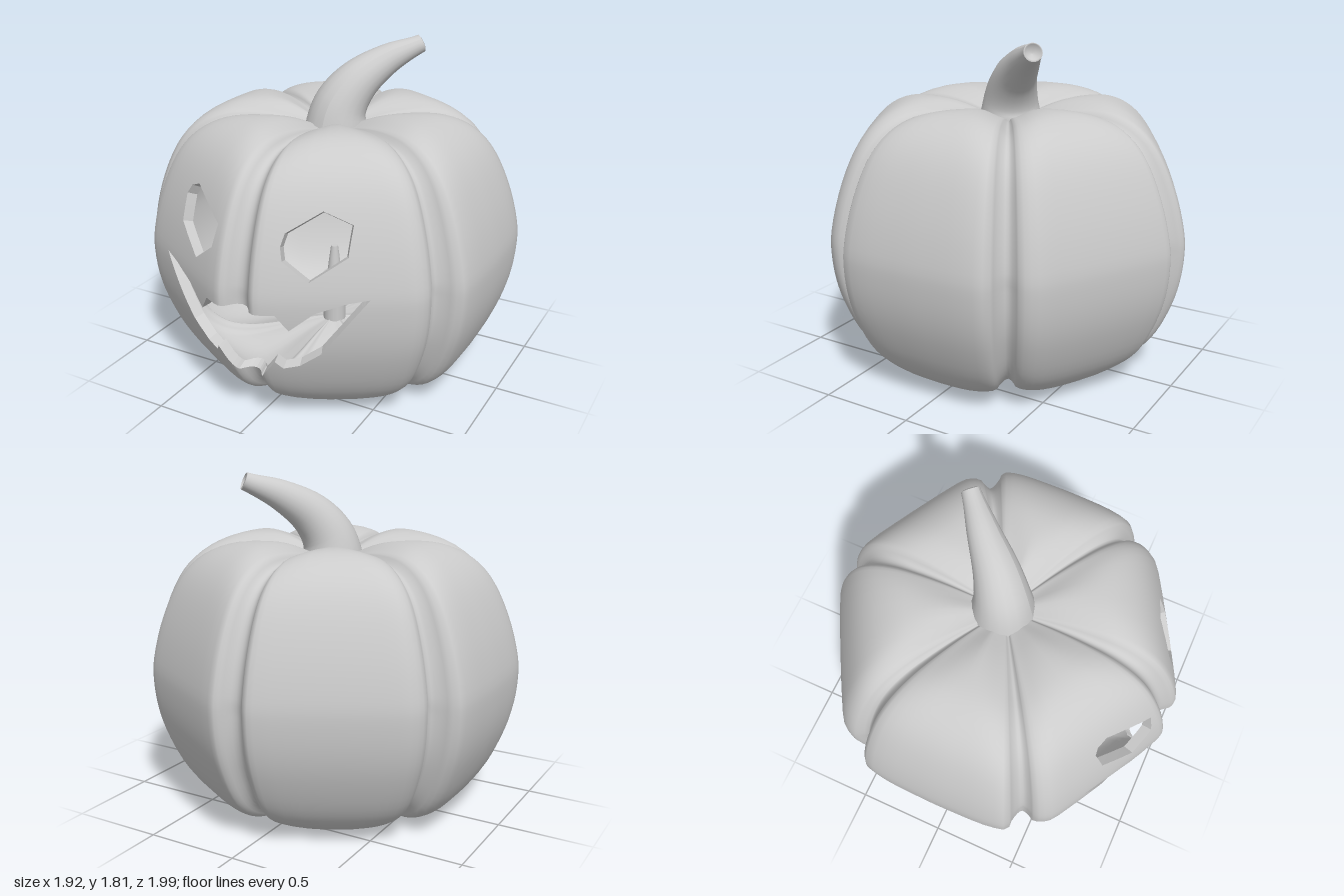
import * as THREE from 'three';

const V2 = (p) => new THREE.Vector2(p[0], p[1]);
const grey = (extra = {}) => new THREE.MeshStandardMaterial({ color: 0xcccccc, roughness: 0.8, ...extra });

// Quarter of the widest outline, front seam to side lobe: x, seam depth, z
const QUARTER = new THREE.CatmullRomCurve3([
  [0, 1, 1.012], [0.03, 0.9, 1.012], [0.06, 0.5, 1.01], [0.09, 0.12, 1.004], [0.13, 0, 0.988], [0.3, 0, 0.9],
  [0.5, 0, 0.79], [0.68, 0, 0.687], [0.775, 0, 0.625], [0.815, 0.06, 0.57], [0.837, 0.5, 0.54],
  [0.857, 1, 0.505], [0.872, 0.8, 0.475], [0.892, 0.3, 0.442], [0.93, 0, 0.41], [0.95, 0, 0.3],
  [0.957, 0, 0.15], [0.96, 0, 0],
].map((p) => new THREE.Vector3(...p)));
const SIDE_SEAM = Math.atan2(0.857, 0.505);

// Vertical profile of a lobe, top dimple to bottom dimple: share of the outline, height
const PROFILE = new THREE.SplineCurve([
  [0.001, 1.38], [0.15, 1.415], [0.3, 1.45], [0.45, 1.464], [0.58, 1.452], [0.7, 1.4], [0.8, 1.31], [0.88, 1.18],
  [0.95, 1], [0.993, 0.82], [1, 0.7], [0.985, 0.55], [0.945, 0.4], [0.87, 0.23], [0.78, 0.11], [0.66, 0.03],
  [0.52, 0], [0.38, 0.015], [0.2, 0.06], [0.001, 0.1],
].map(V2));

const Q = 34, COLS = Q * 4, ROWS = 57, SEAM = 0.085, WALL = 0.055;

// Lobed skin as an indexed grid, pushed inward by `inset`
function skin(inset) {
  const pos = [], index = [];
  for (let i = 0; i <= ROWS; i++) {
    const { x: s, y } = PROFILE.getPoint(i / ROWS);
    const t = PROFILE.getTangent(i / ROWS);
    const fade = Math.min(1, s / 0.5);
    // seams are sharp on the flanks, and soften into wide valleys at top and bottom
    const seam = SEAM * fade * (1 - 0.5 * Math.abs(t.x));
    const width = t.x > 0 ? 0.115 : 0.15;
    for (let j = 0; j < COLS; j++) {
      const q = Math.floor(j / Q), k = j % Q;
      const c = QUARTER.getPoint((q % 2 ? Q - k : k) / Q);
      const x = q < 2 ? c.x : -c.x, z = q === 0 || q === 3 ? c.z : -c.z;
      const r = Math.hypot(x, z), angle = Math.atan2(c.x, c.z);
      const arc = s * Math.min(angle, Math.abs(angle - SIDE_SEAM));
      const valley = 0.045 * Math.exp(-((arc / width) ** 2));
      const depth = inset + seam * c.y, out = (t.y * (inset * fade + seam * c.y)) / r;
      pos.push(x * (s + out), y - t.x * (depth + valley), z * (s + out));
      if (i < ROWS) {
        const n = (j + 1) % COLS, a = i * COLS, b = a + COLS;
        index.push(a + j, b + j, b + n, a + j, b + n, a + n);
      }
    }
  }
  const g = new THREE.BufferGeometry();
  g.setAttribute('position', new THREE.Float32BufferAttribute(pos, 3));
  g.setIndex(index);
  g.computeVertexNormals();
  return g;
}

// Face openings in front projection; the eyes differ slightly
const LEFT_EYE = [[0.195, 1.03], [0.21, 0.965], [0.33, 0.865], [0.48, 0.98], [0.48, 1.125], [0.345, 1.185], [0.205, 1.09]];
const RIGHT_EYE = [[-0.145, 1.08], [-0.37, 1.19], [-0.43, 1.165], [-0.46, 1.12], [-0.46, 0.985], [-0.3, 0.865], [-0.17, 0.965]];
const MOUTH = [[0.07, 0.295], [0.12, 0.36], [0.165, 0.42], [0.195, 0.375], [0.27, 0.395], [0.375, 0.475], [0.45, 0.58],
  [0.59, 0.78], [0.49, 0.76], [0.36, 0.71], [0.25, 0.615], [0.195, 0.7]];
const mirror = (pts) => pts.map(([x, y]) => [-x, y]).reverse();
const HOLES = [LEFT_EYE, RIGHT_EYE, [...MOUTH, ...mirror(MOUTH)]];

const side = (a, b, v) => (b[0] - a[0]) * (v[1] - a[1]) - (b[1] - a[1]) * (v[0] - a[0]);

// Each opening as counter-clockwise triangles whose edges know if they lie on the rim
const CUTTERS = HOLES.flatMap((h) => THREE.ShapeUtils.triangulateShape(h.map(V2), []).map((tri) => {
  const t = side(h[tri[0]], h[tri[1]], h[tri[2]]) < 0 ? [tri[0], tri[2], tri[1]] : tri;
  return t.map((a, k) => {
    const b = t[(k + 1) % 3], gap = Math.abs(a - b);
    return { a: h[a], b: h[b], rim: gap === 1 || gap === h.length - 1 };
  });
}));

// Splits a convex polygon by a line into its left and right parts
function split(poly, { a, b }) {
  const left = [], right = [];
  poly.forEach((u, k) => {
    const v = poly[(k + 1) % poly.length], su = side(a, b, u), sv = side(a, b, v);
    if (su >= 0) left.push(u);
    if (su <= 0) right.push(u);
    if (su * sv < 0) {
      const m = u.map((n, c) => n + ((v[c] - n) * su) / (su - sv));
      left.push(m);
      right.push(m);
    }
  });
  return [left, right];
}

const area = (p) => p.reduce((sum, u, k) => {
  const v = p[(k + 1) % p.length];
  return sum + u[0] * v[1] - u[1] * v[0];
}, 0);

// Removes one cutter from a polygon; rim edges become wall quads
function carve(poly, cutter, walls) {
  let inside = poly;
  const kept = [];
  for (const edge of cutter) {
    const [l, r] = split(inside, edge);
    if (r.length > 2) kept.push(r);
    inside = l;
    if (inside.length < 3) return [poly];
  }
  if (Math.abs(area(inside)) < 1e-10) return [poly];
  inside.forEach((u, k) => {
    const v = inside[(k + 1) % inside.length];
    const on = (e) => e.rim && [u, v].every((p) => Math.abs(side(e.a, e.b, p)) < 1e-8);
    if (cutter.some(on)) {
      const [uo, vo, vi, ui] = [u.slice(0, 3), v.slice(0, 3), v.slice(6, 9), u.slice(6, 9)];
      walls.push(...uo, ...vo, ...vi, ...uo, ...vi, ...ui);
    }
  });
  return kept;
}

function geometry(pos, normals) {
  const g = new THREE.BufferGeometry();
  g.setAttribute('position', new THREE.Float32BufferAttribute(pos, 3));
  if (normals) g.setAttribute('normal', new THREE.Float32BufferAttribute(normals, 3));
  else g.computeVertexNormals();
  return g;
}

// Hollow shell: outer skin, inner skin and the cut walls of the face
function buildShell() {
  const outer = skin(0), inner = skin(WALL);
  const attrs = [outer, inner].flatMap((g) => [g.attributes.position, g.attributes.normal]);
  const vertex = (i) => attrs.flatMap((a) => [a.getX(i), a.getY(i), a.getZ(i)]);
  const idx = outer.index.array, walls = [], op = [], on = [], ip = [], inn = [];
  for (let f = 0; f < idx.length; f += 3) {
    const tri = [vertex(idx[f]), vertex(idx[f + 1]), vertex(idx[f + 2])];
    let polys = [tri];
    if (tri.every((v) => v[2] > 0.3 && v[1] > 0.15 && v[1] < 1.35)) {
      for (const c of CUTTERS) polys = polys.flatMap((p) => carve(p, c, walls));
    }
    for (const p of polys) {
      for (let k = 1; k < p.length - 1; k++) {
        for (const v of [p[0], p[k], p[k + 1]]) { op.push(...v.slice(0, 3)); on.push(...v.slice(3, 6)); }
        for (const v of [p[0], p[k + 1], p[k]]) { ip.push(...v.slice(6, 9)); inn.push(...v.slice(9).map((n) => -n)); }
      }
    }
  }
  return { outerSkin: geometry(op, on), innerSkin: geometry(ip, inn), carvedEdges: geometry(walls) };
}

// Tapered, bent stem with a hollow tip
function buildStem() {
  const path = new THREE.CatmullRomCurve3([[0, 1.3, -0.01], [0.02, 1.45, -0.025], [0.085, 1.575, -0.085],
    [0.2, 1.685, -0.205], [0.345, 1.765, -0.34]].map((p) => new THREE.Vector3(...p)));
  const radius = new THREE.SplineCurve([[0, 0.175], [0.2, 0.142], [0.45, 0.11], [0.7, 0.078], [1, 0.048]].map(V2));
  const N = 24, SIDES = 20;
  const g = new THREE.TubeGeometry(path, N, 1, SIDES);
  const p = g.attributes.position, v = new THREE.Vector3();
  for (let i = 0; i < p.count; i++) {
    const u = Math.floor(i / (SIDES + 1)) / N, c = path.getPointAt(u);
    v.fromBufferAttribute(p, i).sub(c).multiplyScalar(radius.getPoint(u).y).add(c);
    p.setXYZ(i, v.x, v.y, v.z);
  }
  g.computeVertexNormals();
  const stem = new THREE.Group();
  const tip = new THREE.Mesh(new THREE.LatheGeometry([[0, -0.025], [0.03, -0.02], [0.04, 0.004], [0.048, 0]].map(V2), SIDES),
    grey({ side: THREE.DoubleSide }));
  tip.position.copy(path.getPointAt(1));
  tip.quaternion.setFromUnitVectors(new THREE.Vector3(0, 1, 0), path.getTangentAt(1));
  tip.name = 'stemTip';
  const body = new THREE.Mesh(g, grey());
  body.name = 'stemBody';
  stem.add(body, tip);
  stem.name = 'stem';
  return stem;
}

export function createModel() {
  const model = new THREE.Group();
  model.name = 'carvedPumpkin';
  for (const [name, g] of Object.entries(buildShell())) {
    const mesh = new THREE.Mesh(g, grey());
    mesh.name = name;
    model.add(mesh);
  }
  model.add(buildStem());
  // Candle standing inside
  for (const [name, top, bottom, y0, y1] of [['candle', 0.065, 0.065, 0.17, 0.47], ['flame', 0.02, 0.042, 0.47, 0.64]]) {
    const mesh = new THREE.Mesh(new THREE.CylinderGeometry(top, bottom, y1 - y0, 16), grey());
    mesh.position.y = (y0 + y1) / 2;
    mesh.name = name;
    model.add(mesh);
  }
  return model;
}
